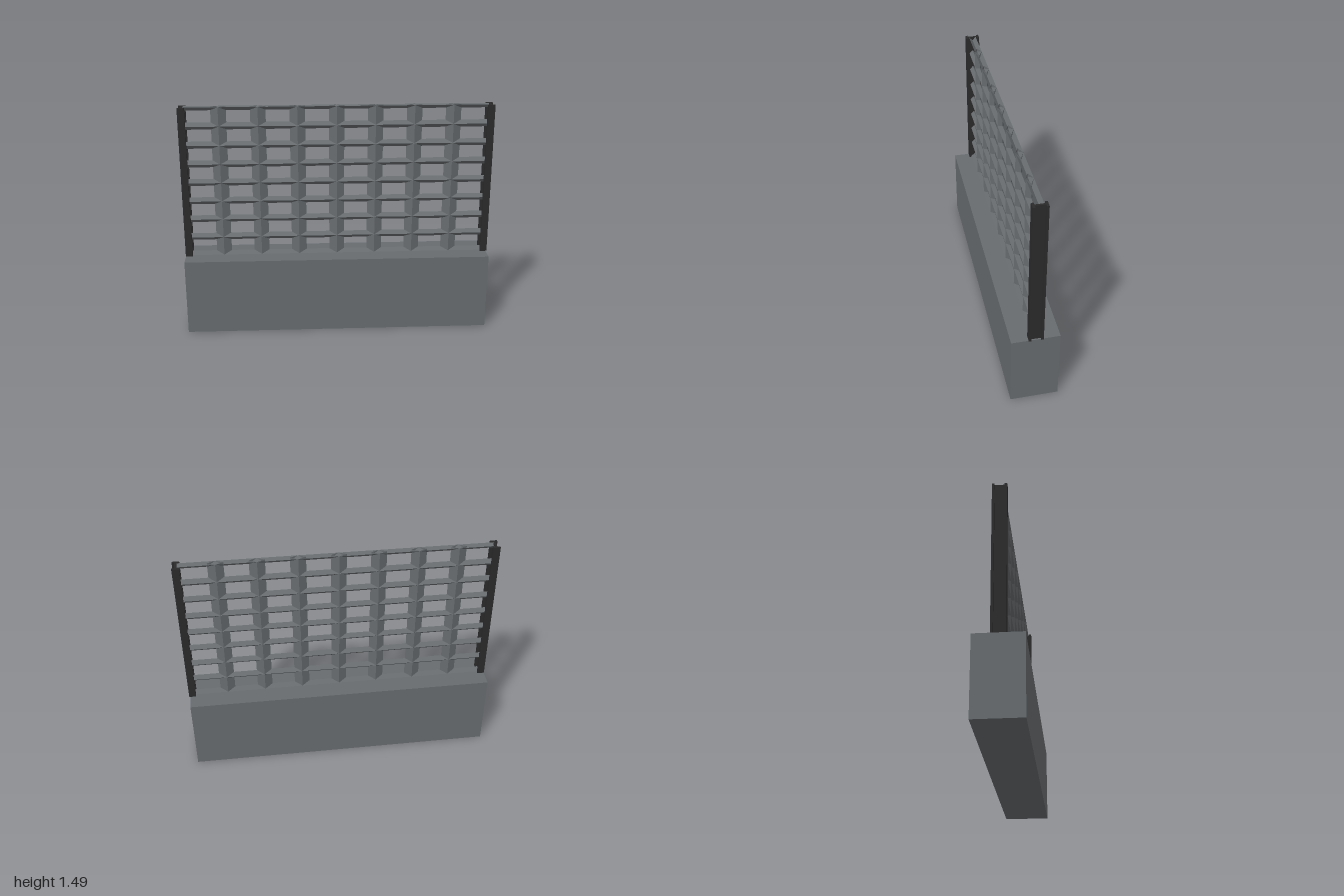
import * as THREE from 'three';

const BASE_TOP = 0.5, TOP = 1.49, CENTRE = -0.003;

export function createModel() {
  const model = new THREE.Group();
  model.name = 'latticeFence';

  const stone = new THREE.MeshStandardMaterial({ color: 0x686c6f, flatShading: true, side: THREE.DoubleSide });
  stone.name = 'stone grey';
  const iron = new THREE.MeshStandardMaterial({ color: 0x2b2b2b, flatShading: true });
  iron.name = 'dark iron';

  const add = (name, geometry, material, x, y, z, parent = model) => {
    const mesh = new THREE.Mesh(geometry, material);
    mesh.name = name;
    mesh.position.set(x, y, z);
    parent.add(mesh);
    return mesh;
  };

  // Solid footing wall
  add('baseWall', new THREE.BoxGeometry(1.99, BASE_TOP, 0.3), stone, CENTRE, BASE_TOP / 2, 0);

  // H-section posts, open towards the lattice
  const w = 0.0225, d = 0.045, slot = 0.03, web = 0.006;
  const section = new THREE.Shape([
    [-w, -d], [w, -d], [w, -slot], [web, -slot], [web, slot], [w, slot],
    [w, d], [-w, d], [-w, slot], [-web, slot], [-web, -slot], [-w, -slot],
  ].map(([x, y]) => new THREE.Vector2(x, y)));
  const postGeometry = new THREE.ExtrudeGeometry(section, { depth: TOP - BASE_TOP, bevelEnabled: false });
  postGeometry.rotateX(-Math.PI / 2);
  add('leftPost', postGeometry, iron, 1 - w, BASE_TOP, 0);
  add('rightPost', postGeometry, iron, -1 + w, BASE_TOP, 0);

  const lattice = new THREE.Group();
  lattice.name = 'lattice';
  model.add(lattice);

  // Upright bars: wide diamond section
  const upright = new THREE.CylinderGeometry(1, 1, TOP - BASE_TOP, 4, 1, true);
  upright.scale(0.049, 1, 0.023);
  for (let i = -3; i <= 3; i++) {
    add('uprightBar', upright, stone, CENTRE + i * 0.2485, (BASE_TOP + TOP) / 2, 0, lattice);
  }

  // Cross rails: diamond section, with half sections at the bottom and top
  const rail = (start, sweep, sides) => {
    const g = new THREE.CylinderGeometry(0.023, 0.023, 1.95, sides, 1, true, start, sweep);
    return g.rotateZ(Math.PI / 2);
  };
  const full = rail(0, Math.PI * 2, 4);
  const upperHalf = rail(0, Math.PI, 2);
  const lowerHalf = rail(Math.PI, Math.PI, 2);
  for (let k = 0; k <= 8; k++) {
    const shape = k === 0 ? upperHalf : k === 8 ? lowerHalf : full;
    add('crossRail', shape, stone, 0, BASE_TOP + (k / 8) * (TOP - BASE_TOP), 0, lattice);
  }

  return model;
}
